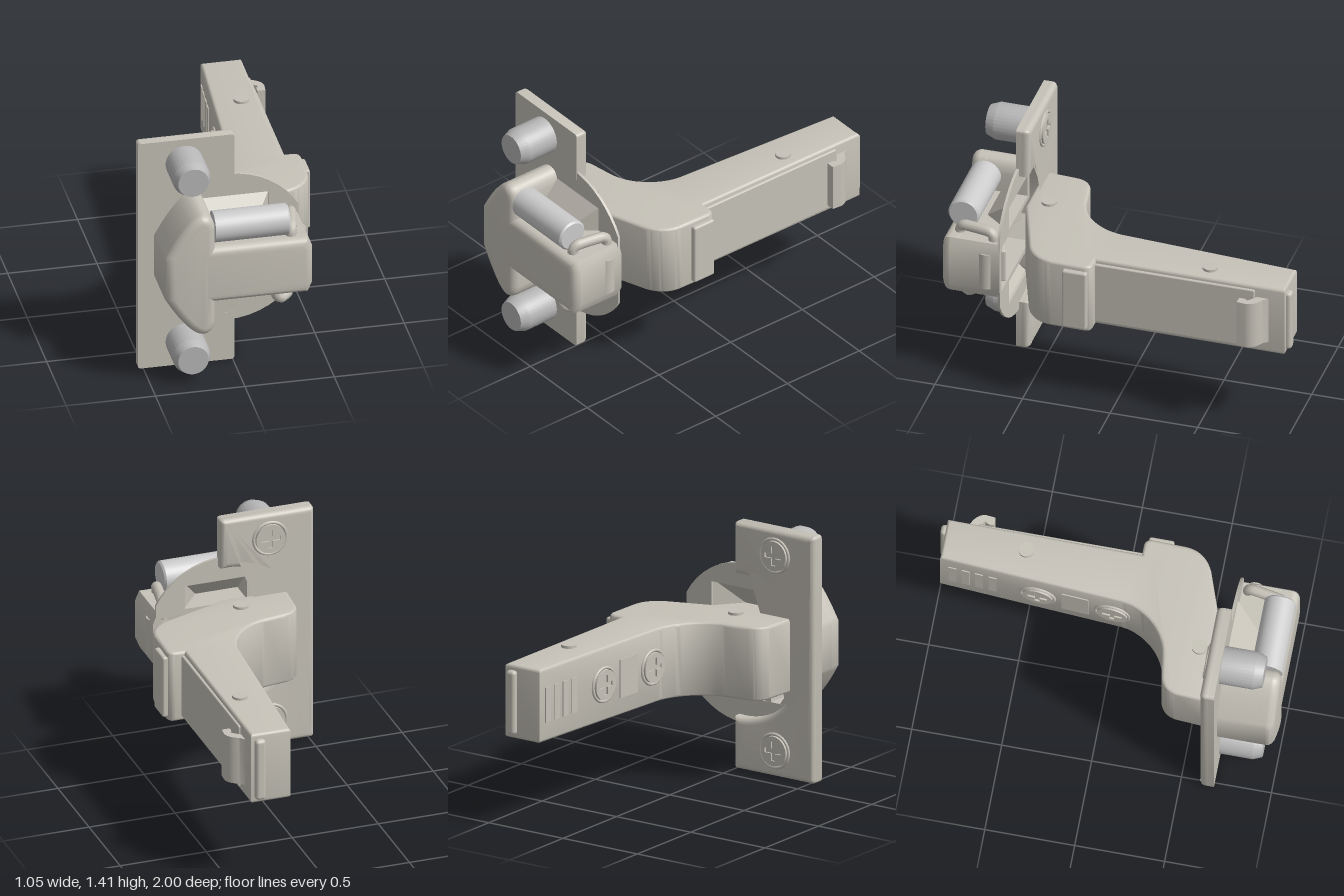
import * as THREE from 'three';
import { toCreasedNormals } from 'three/addons/utils/BufferGeometryUtils.js';
import { RoundedBoxGeometry } from 'three/addons/geometries/RoundedBoxGeometry.js';

const steel = new THREE.MeshStandardMaterial({ color: 0xc6c2b8 });
const sheet = new THREE.MeshStandardMaterial({ color: 0xc6c2b8, side: THREE.DoubleSide });
const grey = new THREE.MeshStandardMaterial({ color: 0xb8b8b8 });
const pale = new THREE.MeshStandardMaterial({ color: 0xdcdcd8 });
const MID = 0.71; // height of the mirror plane
const CX = -0.03, CY = 0.705; // cup centre

export function createModel() {
  const root = new THREE.Group();

  const add = (name, geo, mat = steel, x = 0, y = 0, z = 0) => {
    const m = new THREE.Mesh(geo, mat);
    m.name = name;
    m.position.set(x, y, z);
    root.add(m);
    return m;
  };
  const box = (name, x0, x1, y0, y1, z0, z1, r = 0.01, mat = steel) =>
    add(name, new RoundedBoxGeometry(x1 - x0, y1 - y0, z1 - z0, 2, r), mat,
      (x0 + x1) / 2, (y0 + y1) / 2, (z0 + z1) / 2);
  // Extrusion from z0 to z1; the bevel stays inside the outline
  const extrude = (shape, z0, z1, bevel = 0, thick = bevel) => {
    const g = new THREE.ExtrudeGeometry(shape, {
      depth: z1 - z0 - 2 * thick, curveSegments: 20, bevelEnabled: bevel > 0,
      bevelSize: bevel, bevelThickness: thick, bevelOffset: -bevel, bevelSegments: 4,
    });
    g.translate(0, 0, z0 + thick);
    return toCreasedNormals(g, 0.6);
  };
  const poly = (pts) => new THREE.Path(pts.map(([x, y]) => new THREE.Vector2(x, y)));

  // Mounting plate with a round recess
  const plate = new THREE.Shape();
  const a0 = Math.acos(0.04 / 0.41);
  plate.moveTo(0.01, CY + 0.41 * Math.sin(a0));
  plate.lineTo(0.01, 1.39);
  plate.quadraticCurveTo(0.01, 1.41, -0.01, 1.41);
  plate.lineTo(-0.51, 1.41);
  plate.quadraticCurveTo(-0.53, 1.41, -0.53, 1.39);
  plate.lineTo(-0.53, 0.02);
  plate.quadraticCurveTo(-0.53, 0, -0.51, 0);
  plate.lineTo(-0.01, 0);
  plate.quadraticCurveTo(0.01, 0, 0.01, 0.02);
  plate.lineTo(0.01, CY - 0.41 * Math.sin(a0));
  plate.absarc(CX, CY, 0.41, 2 * Math.PI - a0, a0, true);
  add('mountingPlate', extrude(plate, 0.65, 0.685));
  add('mountingPlateBack', extrude(plate, 0.605, 0.68, 0.035, 0.03));

  // Thin round flange around the cup opening
  const flange = new THREE.Shape();
  flange.absarc(CX, CY, 0.457, 0.505, 2 * Math.PI - 0.505, false);
  flange.closePath();
  flange.holes.push(poly([
    [-0.4, 0.6], [-0.4, 0.82], [-0.28, 1.02], [0.2, 1.02], [0.2, 0.85], [0.34, 0.85],
    [0.34, 0.57], [0.2, 0.57], [0.2, 0.4], [-0.28, 0.4],
  ]));
  add('cupFlange', extrude(flange, 0.668, 0.683));

  // Hollow cup: lens-shaped head joined to a box-shaped body
  const cup = () => {
    const s = new THREE.Shape();
    s.moveTo(-0.16, 0.88);
    s.lineTo(-0.16, 1.0);
    s.quadraticCurveTo(-0.17, 1.08, -0.23, 1.08);
    s.quadraticCurveTo(-0.31, 1.07, -0.44, 0.83);
    s.lineTo(-0.44, 0.58);
    s.quadraticCurveTo(-0.31, 0.35, -0.23, 0.34);
    s.quadraticCurveTo(-0.17, 0.34, -0.16, 0.42);
    s.lineTo(-0.16, 0.54);
    s.lineTo(0.36, 0.54);
    s.lineTo(0.385, 0.6);
    s.lineTo(0.385, 0.82);
    s.lineTo(0.36, 0.88);
    return s;
  };
  const wall = cup();
  wall.holes.push(poly([
    [-0.4, 0.6], [-0.4, 0.81], [-0.26, 1.02], [-0.2, 1.02], [-0.19, 0.85], [0.34, 0.85],
    [0.34, 0.57], [-0.19, 0.57], [-0.2, 0.4], [-0.26, 0.4],
  ]));
  add('cupWall', extrude(wall, 0.67, 0.955));
  add('cupFloor', extrude(cup(), 0.86, 1.0, 0.045));

  // Sloped pockets above and below the cup body
  for (const s of [-1, 1]) {
    const p = (x, d, z) => [x, MID + s * d, z];
    const A = p(-0.17, 0.32, 0.68), B = p(0.2, 0.32, 0.68), C = p(0.08, 0.165, 0.83);
    const D = p(-0.17, 0.165, 0.83), E = p(0.2, 0.165, 0.68);
    const g = new THREE.BufferGeometry();
    const tris = s < 0 ? [A, B, C, A, C, D, B, E, C] : [A, C, B, A, D, C, B, C, E];
    g.setAttribute('position', new THREE.Float32BufferAttribute(tris.flat(), 3));
    g.computeVertexNormals();
    add('cupPocket', g, sheet);
  }

  // Damper barrel lying along the top of the body
  const damper = new THREE.LatheGeometry([[0, -0.21], [0.088, -0.21], [0.088, 0.2], [0.078, 0.21], [0, 0.21]]
    .map(([r, y]) => new THREE.Vector2(r, y)), 32);
  add('damperBarrel', toCreasedNormals(damper, 0.5), pale, 0.05, 0.975, 0.91).rotation.z = -Math.PI / 2;

  // Bent wire pins and the hinge roll
  const wire = (name, pts) => {
    const path = new THREE.CatmullRomCurve3(pts.map((p) => new THREE.Vector3(...p)), false, 'catmullrom', 0.3);
    add(name, new THREE.TubeGeometry(path, 40, 0.03, 10), steel);
  };
  wire('upperPin', [[0.275, 0.82, 0.92], [0.275, 0.9, 0.92], [0.285, 0.925, 0.89],
    [0.31, 0.925, 0.75], [0.315, 0.9, 0.72], [0.315, 0.82, 0.72]]);
  wire('lowerPin', [[0.185, 0.57, 0.93], [0.19, 0.52, 0.93], [0.22, 0.49, 0.92],
    [0.26, 0.49, 0.88], [0.285, 0.52, 0.85], [0.29, 0.57, 0.85]]);
  add('hingeRoll', new THREE.CylinderGeometry(0.06, 0.06, 0.22, 24), steel, 0.335, MID, 0.75);

  // Links inside the cup
  box('outerLink', -0.2, 0.32, 0.61, 0.81, 0.73, 0.76).rotation.y = 0.3;
  box('innerLink', -0.3, 0.1, 0.64, 0.78, 0.79, 0.82).rotation.y = -0.25;

  // Cranked arm, drawn in plan and extruded upward
  const arm = new THREE.Shape();
  arm.moveTo(0.18, 0.97);
  arm.lineTo(0.112, -0.05);
  arm.bezierCurveTo(0.1, -0.17, 0, -0.3, -0.14, -0.325);
  arm.lineTo(-0.27, -0.345);
  arm.quadraticCurveTo(-0.35, -0.36, -0.362, -0.44);
  arm.lineTo(-0.375, -0.635);
  arm.lineTo(0.0, -0.635);
  arm.lineTo(0.38, -0.5);
  arm.quadraticCurveTo(0.49, -0.45, 0.495, -0.34);
  arm.lineTo(0.5, -0.15);
  arm.quadraticCurveTo(0.495, -0.11, 0.46, -0.11);
  arm.lineTo(0.405, -0.11);
  arm.lineTo(0.41, 0.97);
  add('arm', extrude(arm, 0.5, 0.92, 0.018).rotateX(-Math.PI / 2));

  // Side panel, lip, end tab and release hook
  box('armSidePanel', 0.39, 0.422, 0.525, 0.895, -0.8, 0.13, 0.008);
  box('armLip', 0.47, 0.525, 0.525, 0.89, 0.13, 0.27, 0.012);
  box('endTab', 0.33, 0.39, 0.525, 0.89, -1.0, -0.95, 0.02);
  const hook = new THREE.Shape();
  hook.moveTo(0.4, 0.89);
  hook.lineTo(0.43, 0.85);
  hook.quadraticCurveTo(0.495, 0.82, 0.495, 0.77);
  hook.lineTo(0.49, 0.72);
  hook.lineTo(0.445, 0.72);
  hook.quadraticCurveTo(0.44, 0.76, 0.46, 0.77);
  hook.lineTo(0.4, 0.82);
  add('releaseHook', extrude(hook, 0.57, 0.85).rotateX(-Math.PI / 2));

  // Rivets through the arm
  for (const [x, z] of [[0.31, -0.515], [-0.07, 0.52]])
    add('rivet', new THREE.CylinderGeometry(0.043, 0.043, 0.45, 24), steel, x, MID, z);

  // Cross-head screws: a disc with a cross-shaped hole over a backing disc
  const screw = (name, x, y, z, turn) => {
    const g = new THREE.Group();
    const head = new THREE.Shape().absarc(0, 0, 0.085, 0, Math.PI * 2);
    const a = 0.013, b = 0.055;
    head.holes.push(poly([[a, a], [a, b], [-a, b], [-a, a], [-b, a], [-b, -a],
      [-a, -a], [-a, -b], [a, -b], [a, -a], [b, -a], [b, a]]));
    g.add(new THREE.Mesh(extrude(head, -0.01, 0.015), steel));
    g.add(new THREE.Mesh(new THREE.CylinderGeometry(0.085, 0.085, 0.01, 28).rotateX(Math.PI / 2), steel));
    g.add(new THREE.Mesh(new THREE.TorusGeometry(0.095, 0.009, 8, 32), steel));
    g.name = name;
    g.position.set(x, y, z);
    g.rotation.y = turn;
    root.add(g);
  };

  // Fixing dowels with their screw heads behind
  const dowel = new THREE.LatheGeometry([[0, 0], [0.105, 0], [0.105, 0.19], [0.085, 0.24], [0, 0.24]]
    .map(([r, y]) => new THREE.Vector2(r, y)), 32);
  for (const y of [0.15, 1.265]) {
    add('dowel', toCreasedNormals(dowel, 0.4), grey, -0.27, y, 0.68).rotation.x = Math.PI / 2;
    screw('plateScrew', -0.27, y, 0.604, Math.PI);
  }

  // Adjusting screws, window and slots along the arm's narrow face
  const faceX = (z) => 0.112 + 0.0667 * (0.05 - z);
  for (const z of [-0.42, 0.0]) screw('adjustingScrew', faceX(z) - 0.003, MID, z, -Math.PI / 2 - 0.067);
  const mark = (name, z, w, h) =>
    add(name, new THREE.BoxGeometry(0.012, h, w), steel, faceX(z), MID, z).rotation.y = -0.067;
  mark('window', -0.21, 0.15, 0.22);
  for (let i = 0; i < 4; i++) mark('slot', -0.9 + i * 0.075, 0.045, 0.2);

  return root;
}
